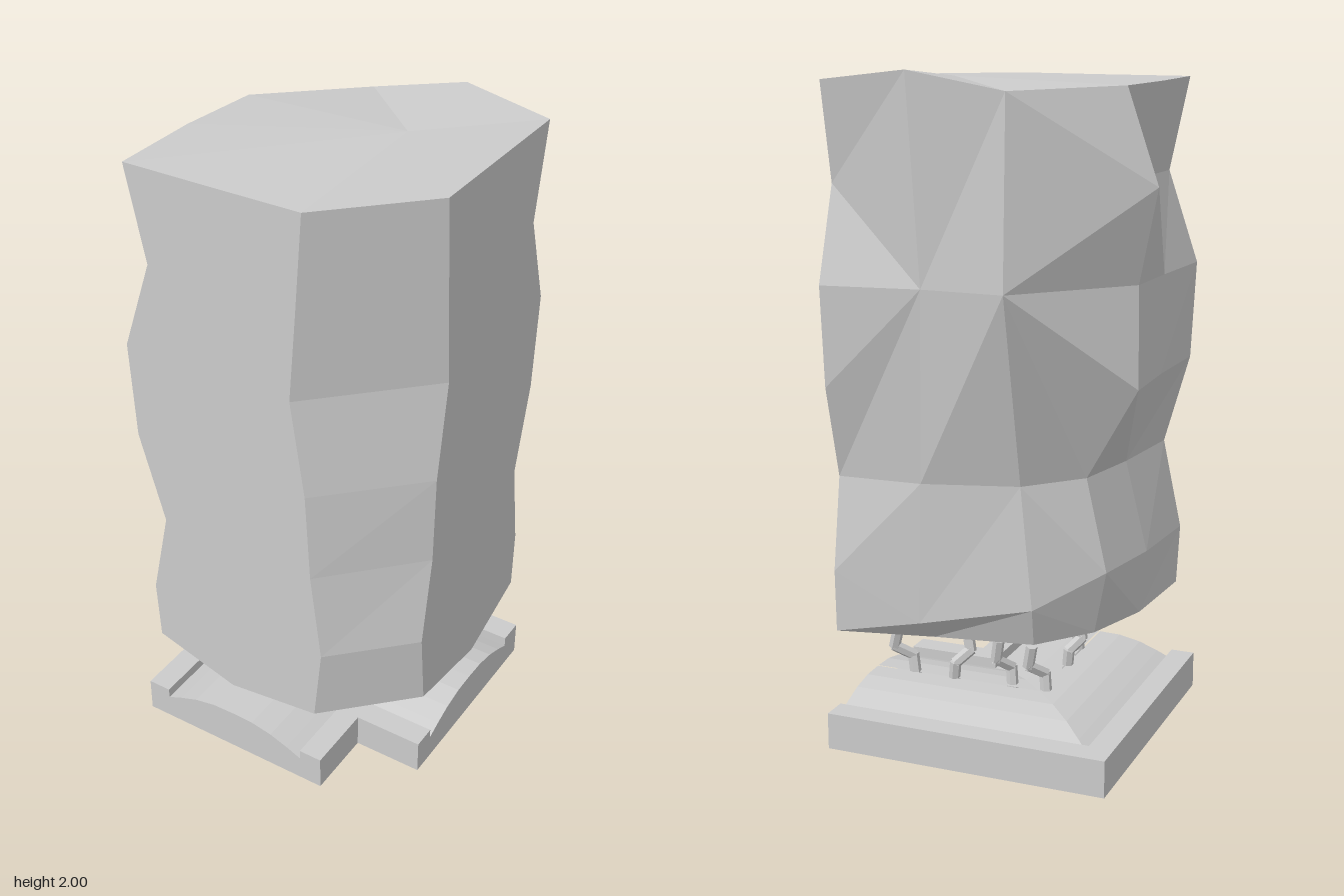
import * as THREE from 'three';

const grey = new THREE.MeshStandardMaterial({ color: 0xcccccc, flatShading: true });

function addMesh(parent, name, geometry) {
  const mesh = new THREE.Mesh(geometry, grey);
  mesh.name = name;
  parent.add(mesh);
  return mesh;
}

// Faceted skin through closed rings of [x, y, z], bottom to top, with optional centre points for the ends
function loft(rings, bottom, top, flipped = []) {
  const out = [];
  const tri = (a, b, c) => out.push(...a, ...b, ...c);
  const n = rings[0].length;
  for (let i = 0; i < n; i++) {
    const j = (i + 1) % n;
    for (let k = 0; k < rings.length - 1; k++) {
      const [a, b, c, d] = [rings[k][i], rings[k][j], rings[k + 1][j], rings[k + 1][i]];
      if (flipped.includes(i)) { tri(a, b, d); tri(b, c, d); }
      else { tri(a, b, c); tri(a, c, d); }
    }
    const last = rings[rings.length - 1];
    if (bottom) tri(rings[0][j], rings[0][i], bottom);
    if (top) tri(last[i], last[j], top);
  }
  const g = new THREE.BufferGeometry();
  g.setAttribute('position', new THREE.Float32BufferAttribute(out, 3));
  g.computeVertexNormals();
  return g;
}

// Plate with an [x, z] outline, standing between two heights
function plate(outline, y0, y1) {
  const shape = new THREE.Shape(outline.map(([x, z]) => new THREE.Vector2(x, -z)));
  const g = new THREE.ExtrudeGeometry(shape, { depth: y1 - y0, bevelEnabled: false });
  return g.rotateX(-Math.PI / 2).translate(0, y0, 0);
}

function createBase() {
  const base = new THREE.Group();
  base.name = 'base';
  // L-shaped slab, notched at one corner
  addMesh(base, 'slab', plate([[-0.425, 0.44], [0.23, 0.44], [0.23, 0.22], [0.45, 0.22], [0.45, -0.44], [-0.425, -0.44]], 0, 0.08));
  // Raised rims along the outer edges and the notch
  addMesh(base, 'outerRim', plate([[-0.425, 0.44], [-0.35, 0.44], [-0.35, -0.36], [0.45, -0.36], [0.45, -0.44], [-0.425, -0.44]], 0.08, 0.112));
  addMesh(base, 'notchRim', plate([[0.155, 0.44], [0.23, 0.44], [0.23, 0.22], [0.45, 0.22], [0.45, 0.145], [0.155, 0.145]], 0.08, 0.112));
  // Rounded mound following the L: [inset, height]
  const profile = [[0, 0.08], [0.05, 0.102], [0.11, 0.124], [0.18, 0.138], [0.25, 0.14]];
  addMesh(base, 'mound', loft(profile.map(([d, y]) => [
    [0.45, y, -0.36 + d], [-0.35 + d, y, -0.36 + d], [-0.35 + d, y, 0.44],
    [0.155 - d, y, 0.44], [0.155 - d, y, 0.145 - d], [0.45, y, 0.145 - d],
  ])));
  return base;
}

// Bent rods along the ridge of the mound: foot position, then sideways bend in x and z
function createRods() {
  const rods = new THREE.Group();
  rods.name = 'rods';
  const up = new THREE.Vector3(0, 1, 0);
  const list = [
    [0.32, -0.1, 0.06, -0.035], [0.19, -0.1, -0.045, 0.035], [0.0, -0.08, 0.04, -0.045],
    [-0.115, -0.09, 0.045, -0.045], [-0.1, 0.13, -0.04, 0.03], [-0.09, 0.275, 0.035, 0.045],
  ];
  list.forEach(([x, z, bx, bz]) => {
    const path = [[0, 0.12, 0], [0.2, 0.19, -0.2], [1, 0.225, 0.8], [0.7, 0.29, 1]]
      .map(([u, y, v]) => new THREE.Vector3(x + u * bx, y, z + v * bz));
    for (let i = 0; i < path.length - 1; i++) {
      const dir = path[i + 1].clone().sub(path[i]);
      const part = addMesh(rods, 'rodSegment', new THREE.CylinderGeometry(0.018, 0.018, dir.length() + 0.008, 6));
      part.position.copy(path[i]).addScaledVector(dir, 0.5);
      part.quaternion.setFromUnitVectors(up, dir.normalize());
    }
  });
  return rods;
}

// Rough block: two flat faces, one cut corner and two broken sides
function createBlock() {
  const levels = [0.35, 0.54, 0.82, 1.1, 1.4, 1.68, 1.97];
  const front = (xs) => xs.map((x) => [x, 0.44]);
  const side = (zs) => zs.map((z) => [0.45, z]);
  // Each column lists [x, z] per level, with its own height where it leaves the level
  const columns = [
    front([-0.36, -0.37, -0.31, -0.39, -0.405, -0.31, -0.37]),
    front(Array(7).fill(-0.09)),
    front([0.21, 0.235, 0.2, 0.185, 0.14, 0.163, 0.185]),
    side([0.2, 0.225, 0.18, 0.175, 0.13, 0.152, 0.175]),
    side(Array(7).fill(-0.11)),
    side([-0.37, -0.375, -0.33, -0.4, -0.42, -0.33, -0.385]),
    // Broken sides: levels that share a corner make large triangles
    [[0.18, -0.26], [0.2, -0.32, 0.39], [0.19, -0.32], [0.153, -0.381, 1.4], [0.153, -0.381], [0.153, -0.381, 1.4], [0.17, -0.425]],
    [[-0.12, -0.21], [-0.13, -0.25, 0.45], [-0.09, -0.24], [-0.1, -0.39, 1.4], [-0.1, -0.39], [-0.1, -0.39, 1.4], [-0.1, -0.37]],
    [[-0.26, -0.07], [-0.305, -0.095], [-0.235, -0.08], [-0.395, -0.095], [-0.385, -0.075], [-0.45, -0.11], [-0.355, -0.11]],
    [[-0.33, 0.15], [-0.35, 0.15], [-0.28, 0.15], [-0.385, 0.15], [-0.39, 0.15], [-0.31, 0.15], [-0.375, 0.15]],
  ];
  const bottomY = [0.35, 0.265, 0.3, 0.3, 0.255, 0.35, 0.33, 0.33, 0.34, 0.34];
  const topY = [1.965, 1.967, 1.97, 1.97, 1.97, 1.97, 2.0, 1.945, 1.955, 1.96];
  const rings = levels.map((level, k) => columns.map((column, i) => {
    const [x, z, y = k === 0 ? bottomY[i] : k === 6 ? topY[i] : level] = column[k];
    return [x, y, z];
  }));
  const block = new THREE.Group();
  block.name = 'block';
  addMesh(block, 'roughBlock', loft(rings, [0.18, 0.238, 0.13], [0.17, 1.975, -0.1], [7, 8]));
  return block;
}

export function createModel() {
  const model = new THREE.Group();
  model.name = 'brokenPillar';
  model.add(createBase(), createRods(), createBlock());
  return model;
}
